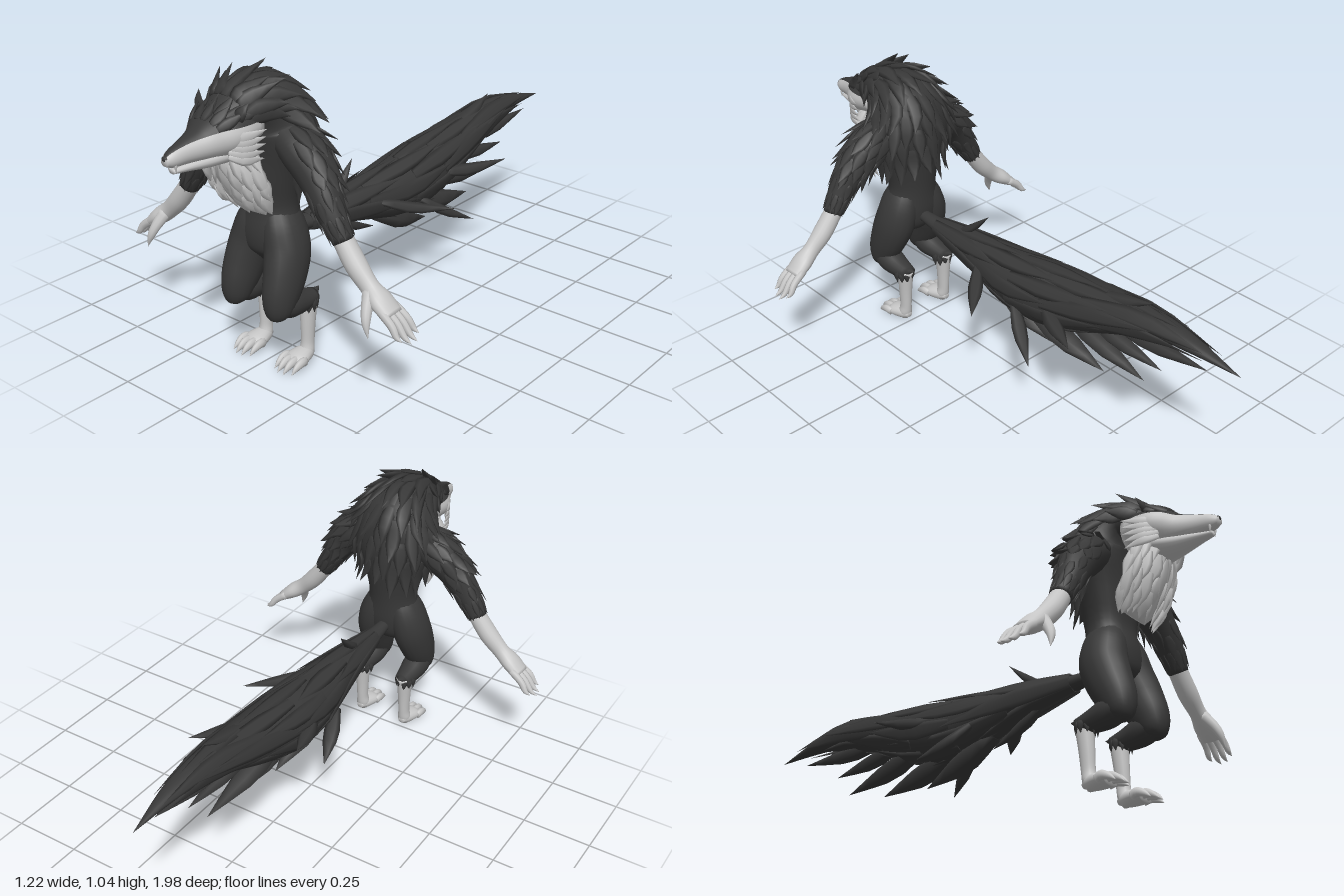
import * as THREE from 'three';
import { mergeGeometries } from 'three/addons/utils/BufferGeometryUtils.js';

const V = (x, y, z) => new THREE.Vector3(x, y, z);
const TAU = Math.PI * 2;

// Repeatable jitter in -1..1
let seed = 7;
const jitter = () => {
  seed = (seed * 16807) % 2147483647;
  return (seed / 2147483647) * 2 - 1;
};

// Smooth tube surface through sections [x, y, z, sideRadius, otherRadius]
function surface(secs, side = V(1, 0, 0)) {
  const path = new THREE.CatmullRomCurve3(secs.map(s => V(s[0], s[1], s[2])), false, 'catmullrom');
  const radii = new THREE.CatmullRomCurve3(secs.map(s => V(s[3], s[4], 0)), false, 'catmullrom');
  return (u, t, k = 1) => {
    u = THREE.MathUtils.clamp(u, 0, 1);
    const T = path.getTangent(u), r = radii.getPoint(u);
    const U = side.clone().addScaledVector(T, -side.dot(T)).normalize();
    const W = T.clone().cross(U);
    return path.getPoint(u)
      .addScaledVector(U, k * Math.max(r.x, 0) * Math.cos(t))
      .addScaledVector(W, k * Math.max(r.y, 0) * Math.sin(t));
  };
}

// Skin a surface with capped ends; arc(u) limits the angle range
function skin(f, steps = 24, n = 18, arc = null) {
  const pos = [], idx = [], cols = arc ? n + 1 : n;
  for (let i = -1; i <= steps + 1; i++) {
    const u = THREE.MathUtils.clamp(i / steps, 0, 1);
    const [t0, t1] = arc ? arc(u) : [0, TAU];
    const k = i < 0 || i > steps ? 0 : 1;
    for (let j = 0; j < cols; j++) pos.push(...f(u, t0 + (t1 - t0) * j / n, k).toArray());
  }
  for (let i = 0; i < steps + 2; i++) for (let j = 0; j < n; j++) {
    const a = i * cols + j, b = i * cols + (j + 1) % cols, c = a + cols, d = b + cols;
    idx.push(a, b, c, b, d, c);
  }
  const g = new THREE.BufferGeometry();
  g.setAttribute('position', new THREE.Float32BufferAttribute(pos, 3));
  g.setIndex(idx);
  g.computeVertexNormals();
  return g;
}
const loft = (secs, side, steps, n) => skin(surface(secs, side), steps, n);

// One pointed lock of hair: base, middle, tip
function lock(p, m, q, w, out, thick = 0.35) {
  const side = out.clone().cross(q.clone().sub(p)).normalize();
  const sec = (v, s) => [v.x, v.y, v.z, w * s, w * s * thick];
  return loft([sec(p, 0.6), sec(m, 1), sec(q, 0)], side, 5, 6);
}

// Overlapping rows of locks following a surface
function fur(f, rows, [t0, t1], cols, du, lift, w, thick) {
  const list = [];
  rows.forEach((u, r) => {
    for (let c = 0; c < cols; c++) {
      const t = t0 + (t1 - t0) * (c + 0.25 + (r % 2) * 0.5) / cols + jitter() * 0.06;
      const d = du * (1 + 0.25 * jitter());
      const out = f(u, t).sub(f(u, t, 0)).normalize();
      const q = f(u + d, t + jitter() * 0.08).addScaledVector(out, lift * (1 + 0.4 * jitter()));
      list.push(lock(f(u, t), f(u + d * 0.45, t).addScaledVector(out, lift * 0.2), q, w, out, thick));
    }
  });
  return mergeGeometries(list);
}

export function createModel() {
  seed = 7;
  const model = new THREE.Group();
  const dark = new THREE.MeshStandardMaterial({ color: 0x383838 });
  dark.name = 'charcoal fur';
  const light = new THREE.MeshStandardMaterial({ color: 0xc6c6c6 });
  light.name = 'pale grey';
  const add = (name, geo, mat) => {
    const m = new THREE.Mesh(geo, mat);
    m.name = name;
    model.add(m);
  };

  // Torso, bending forward into the neck
  const torso = surface([
    [0, 0.365, 0.585, 0.03, 0.03], [0, 0.405, 0.58, 0.1, 0.07], [0, 0.47, 0.578, 0.115, 0.082],
    [0, 0.56, 0.57, 0.094, 0.078], [0, 0.67, 0.57, 0.122, 0.092], [0, 0.78, 0.57, 0.165, 0.104],
    [0, 0.87, 0.59, 0.142, 0.11], [0, 0.915, 0.66, 0.11, 0.078], [0, 0.895, 0.74, 0.088, 0.068],
    [0, 0.88, 0.8, 0.06, 0.04]]);
  add('torso', skin(torso, 40, 28), dark);
  add('mane', fur(torso, [0.52, 0.59, 0.65, 0.71, 0.77, 0.83, 0.89], [-0.15, Math.PI + 0.15], 9, -0.13, 0.044, 0.027), dark);

  // Head: dark crown and bridge over pale cheeks and muzzle
  const head = surface([
    [0, 0.875, 0.69, 0.1, 0.07], [0, 0.864, 0.76, 0.108, 0.072], [0, 0.852, 0.81, 0.096, 0.07],
    [0, 0.84, 0.86, 0.06, 0.052], [0, 0.832, 0.92, 0.036, 0.038], [0, 0.824, 0.97, 0.025, 0.027],
    [0, 0.82, 0.995, 0.013, 0.013]]);
  const split = u => 0.18 + 1.05 * u;
  add('crown', skin(head, 24, 14, u => [split(u), Math.PI - split(u)]), dark);
  add('muzzleAndCheeks', skin(head, 24, 20, u => [Math.PI - split(u), TAU + split(u)]), light);
  add('crownFur', fur(head, [0.18, 0.3, 0.4], [0.6, Math.PI - 0.6], 5, -0.22, 0.024, 0.018), dark);
  add('lowerJaw', loft([[0, 0.8, 0.76, 0.08, 0.04], [0, 0.79, 0.84, 0.05, 0.029],
    [0, 0.787, 0.91, 0.028, 0.017], [0, 0.785, 0.968, 0.013, 0.008]]), light);
  const nose = new THREE.SphereGeometry(0.012, 12, 8);
  nose.scale(1, 0.75, 0.7);
  add('nose', nose.translate(0, 0.83, 0.99), dark);

  // Beard hanging from throat to chest
  const beard = surface([
    [0, 0.83, 0.73, 0.07, 0.04], [0, 0.77, 0.738, 0.105, 0.052], [0, 0.7, 0.718, 0.116, 0.048],
    [0, 0.635, 0.69, 0.108, 0.038], [0, 0.57, 0.662, 0.085, 0.015]]);
  add('beard', skin(surface([
    [0, 0.83, 0.73, 0.07, 0.04], [0, 0.77, 0.735, 0.103, 0.05], [0, 0.7, 0.715, 0.113, 0.045],
    [0, 0.635, 0.685, 0.095, 0.03], [0, 0.59, 0.66, 0.06, 0.01]]), 20, 22), light);
  add('beardLocks', fur(beard, [0.05, 0.26, 0.46, 0.64], [-0.1, Math.PI + 0.1], 8, 0.42, 0.01, 0.024, 0.3), light);

  for (const s of [1, -1]) {
    const side = s > 0 ? 'left' : 'right';
    const P = (x, y, z) => V(s * x, y, z);
    const M = secs => secs.map(c => [s * c[0], ...c.slice(1)]);
    const Z = V(0, 0, 1), X = V(1, 0, 0);

    // Ear, cheek tufts and fangs
    add(side + 'Ear', lock(P(0.07, 0.9, 0.77), P(0.088, 0.925, 0.775), P(0.105, 0.958, 0.755), 0.022, Z, 0.4), dark);
    add(side + 'CheekTufts', mergeGeometries([0, 1, 2, 3, 4].map(i => lock(
      P(0.075, 0.858 - i * 0.014, 0.815), P(0.108, 0.858 - i * 0.018, 0.775),
      P(0.132 - i * 0.004, 0.872 - i * 0.024, 0.71), 0.017, P(1, 0, 0.4)))), light);
    add(side + 'Fang', lock(P(0.016, 0.815, 0.965), P(0.016, 0.805, 0.967), P(0.016, 0.78, 0.965), 0.005, Z, 1), light);

    // Upper arm with shaggy shoulder, smooth inside and ragged cuff
    const arm = surface(M([
      [0.09, 0.815, 0.585, 0.066, 0.06], [0.17, 0.768, 0.59, 0.077, 0.07], [0.232, 0.7, 0.602, 0.06, 0.06],
      [0.285, 0.622, 0.612, 0.049, 0.047], [0.338, 0.535, 0.614, 0.034, 0.034]]), Z);
    add(side + 'UpperArm', skin(arm, 24, 18), dark);
    add(side + 'ShoulderFur', fur(arm, [0.08, 0.2, 0.32, 0.44], s > 0 ? [2.4, 5.6] : [-0.7, 2.5].map(a => a + 0.6),
      5, 0.24, 0.026, 0.022, 0.25), dark);
    add(side + 'ElbowFur', fur(arm, [0.56, 0.68], [0, TAU], 5, 0.2, 0.01, 0.015, 0.25), dark);
    add(side + 'ArmCuff', fur(arm, [0.82], [0, TAU], 11, 0.2, 0.005, 0.012, 0.25), dark);

    // Forearm, palm, fingers and thumb
    add(side + 'Forearm', loft(M([
      [0.32, 0.56, 0.612, 0.033, 0.032], [0.385, 0.475, 0.615, 0.035, 0.035], [0.44, 0.42, 0.617, 0.029, 0.031],
      [0.485, 0.386, 0.617, 0.042, 0.03], [0.53, 0.352, 0.615, 0.042, 0.02]]), Z), light);
    add(side + 'Fingers', mergeGeometries([0, 1, 2, 3].map(i => {
      const z = 0.583 + i * 0.021, e = 0.573 + i * 0.026, l = [0.006, 0.022, 0.02, 0.004][i];
      return loft(M([[0.505, 0.37, z, 0.012, 0.015], [0.55, 0.338, (z + e) / 2, 0.011, 0.014],
        [0.568 + l * 0.6, 0.312 - l * 0.5, e, 0.009, 0.01], [0.588 + l, 0.302 - l * 0.7, e, 0, 0]]), Z, 10, 8);
    })), light);
    add(side + 'Thumb', loft(M([[0.45, 0.41, 0.63, 0.02, 0.024], [0.466, 0.365, 0.662, 0.017, 0.018],
      [0.477, 0.33, 0.678, 0.012, 0.013], [0.49, 0.288, 0.684, 0, 0]]), Z, 12, 10), light);

    // Thigh, backswept shin and hock fur
    add(side + 'Thigh', loft(M([
      [0.035, 0.55, 0.572, 0.045, 0.06], [0.056, 0.49, 0.577, 0.063, 0.078], [0.075, 0.42, 0.585, 0.069, 0.083],
      [0.087, 0.35, 0.61, 0.064, 0.079], [0.092, 0.28, 0.64, 0.056, 0.066], [0.094, 0.225, 0.655, 0.042, 0.045],
      [0.094, 0.2, 0.655, 0.015, 0.015]]), X), dark);
    const shin = surface(M([[0.094, 0.255, 0.67, 0.04, 0.036], [0.094, 0.24, 0.61, 0.05, 0.047],
      [0.095, 0.228, 0.55, 0.042, 0.038], [0.095, 0.225, 0.495, 0.03, 0.025]]), X);
    add(side + 'Shin', skin(shin, 16, 18), dark);
    add(side + 'HockTuft', lock(P(0.095, 0.23, 0.53), P(0.095, 0.232, 0.5), P(0.095, 0.245, 0.463), 0.025, V(0, 1, 0), 0.6), dark);
    add(side + 'HockFur', mergeGeometries(Array.from({ length: 10 }, (_, i) => {
      const a = i / 10 * TAU, o = P(Math.cos(a), 0, Math.sin(a)), c = P(0.095, 0, 0.525);
      const at = (r, y) => c.clone().addScaledVector(o, r).setY(y);
      return lock(at(0.03, 0.235), at(0.036, 0.215), at(0.034, 0.183 + 0.006 * jitter()), 0.014, o);
    })), dark);

    // Lower leg, foot and clawed toes
    add(side + 'Hock', loft(M([[0.095, 0.23, 0.515, 0.03, 0.032], [0.095, 0.14, 0.521, 0.024, 0.027],
      [0.095, 0.07, 0.524, 0.021, 0.024], [0.095, 0.035, 0.53, 0.025, 0.025], [0.095, 0.01, 0.54, 0.018, 0.02]]), X), light);
    add(side + 'Foot', loft(M([[0.095, 0.025, 0.505, 0.012, 0.01], [0.095, 0.028, 0.53, 0.028, 0.025],
      [0.095, 0.026, 0.575, 0.042, 0.024], [0.095, 0.02, 0.605, 0.036, 0.016]]), X), light);
    add(side + 'Toes', mergeGeometries([-1.5, -0.5, 0.5, 1.5].map(k => {
      const x = 0.095 + k * 0.022, e = 0.095 + k * 0.025, d = Math.abs(k) > 1 ? -0.014 : 0;
      return loft(M([[x, 0.022, 0.575, 0.012, 0.016], [e, 0.028, 0.61 + d, 0.013, 0.016],
        [e, 0.018, 0.637 + d, 0.009, 0.011], [e, 0.002, 0.66 + d, 0, 0]]), X, 12, 10);
    })), light);
  }

  // Great brush tail
  const tail = surface([
    [0, 0.44, 0.53, 0.02, 0.02], [0, 0.432, 0.4, 0.035, 0.028], [0, 0.425, 0.2, 0.066, 0.056],
    [0, 0.41, 0.02, 0.096, 0.092], [-0.005, 0.408, -0.14, 0.11, 0.112], [-0.01, 0.44, -0.3, 0.1, 0.092],
    [-0.01, 0.485, -0.46, 0.08, 0.06], [-0.01, 0.525, -0.65, 0.052, 0.038],
    [-0.01, 0.524, -0.8, 0.032, 0.022], [-0.015, 0.5, -0.985, 0, 0]]);
  add('tail', skin(tail, 40, 20), dark);
  add('tailFur', fur(tail, [0.1, 0.24, 0.38, 0.5, 0.62], [0, TAU], 7, 0.28, 0.01, 0.03, 0.22), dark);

  // Stray tail locks: base, tip, width
  const strays = [
    [0.07, 0.42, 0.12, 0.26, 0.385, -0.06, 0.026], [0.08, 0.37, -0.08, 0.19, 0.25, -0.27, 0.026],
    [0.07, 0.42, -0.22, 0.195, 0.43, -0.46, 0.03], [-0.09, 0.42, -0.12, -0.165, 0.45, -0.34, 0.028],
    [-0.08, 0.36, 0.04, -0.15, 0.26, -0.15, 0.028], [0, 0.46, 0.3, -0.02, 0.57, 0.16, 0.022],
    [0, 0.53, -0.4, -0.01, 0.595, -0.63, 0.03], [0, 0.4, 0.3, 0, 0.29, 0.07, 0.025],
    [0, 0.34, 0.08, 0, 0.22, -0.23, 0.05], [0.02, 0.34, -0.1, 0.02, 0.25, -0.46, 0.05],
    [-0.02, 0.38, -0.22, 0, 0.29, -0.62, 0.045], [0, 0.43, -0.35, 0.01, 0.38, -0.7, 0.035],
    [0, 0.46, -0.45, 0, 0.47, -0.87, 0.035]];
  add('tailLocks', mergeGeometries(strays.map(([a, b, c, d, e, f, w]) => {
    const p = V(a, b, c), q = V(d, e, f), m = p.clone().lerp(q, 0.45);
    m.y -= 0.012;
    return lock(p, m, q, w, V(0, 1, 0), 0.7);
  })), dark);
  return model;
}
